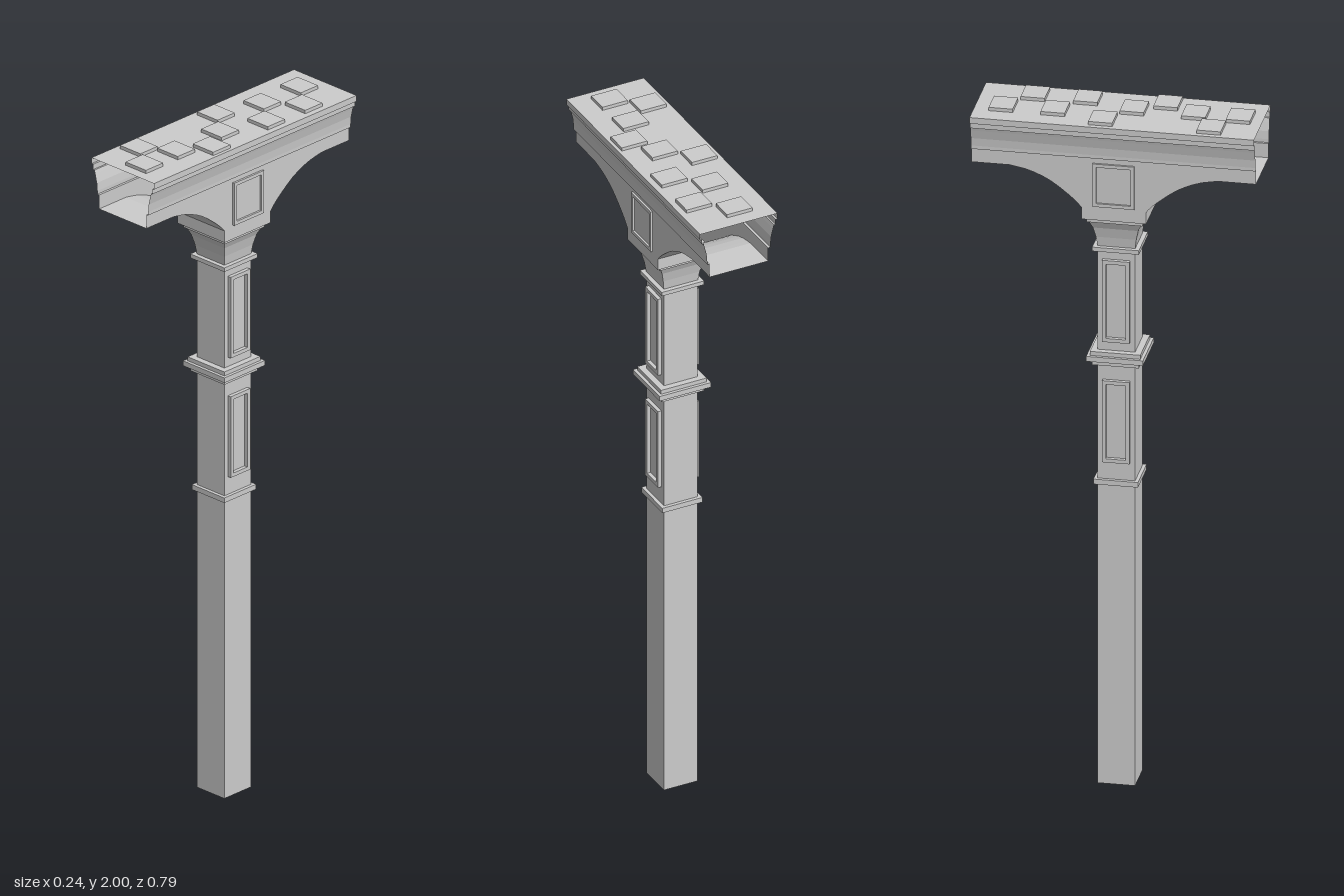
import * as THREE from 'three';

const material = new THREE.MeshStandardMaterial({ color: 0xcccccc, flatShading: true, side: THREE.DoubleSide });
const HALF_LENGTH = 0.395;
const WALL_X = 0.09;

function add(parent, name, geometry) {
  const mesh = new THREE.Mesh(geometry, material);
  mesh.name = name;
  parent.add(mesh);
  return mesh;
}

// Square-plan moulding: profile of [half width, y], turned with four sides
function squareTurned(profile) {
  const pts = profile.map(([w, y]) => new THREE.Vector2(w * Math.SQRT2, y));
  return new THREE.LatheGeometry(pts, 4).rotateY(Math.PI / 4);
}

// Sheet joining two matching rows of points
function sheet(rowA, rowB) {
  const pos = [], index = [];
  rowA.forEach((a, i) => {
    pos.push(...a, ...rowB[i]);
    if (i) {
      const k = 2 * i;
      index.push(k - 2, k - 1, k, k, k - 1, k + 1);
    }
  });
  const g = new THREE.BufferGeometry();
  g.setAttribute('position', new THREE.Float32BufferAttribute(pos, 3));
  g.setIndex(index);
  g.computeVertexNormals();
  return g;
}

// Raised rectangular border on a side face
function frame(halfW, halfH, border, depth) {
  const rect = (T, w, h) => {
    const p = new T();
    p.moveTo(-w, -h).lineTo(w, -h).lineTo(w, h).lineTo(-w, h).closePath();
    return p;
  };
  const shape = rect(THREE.Shape, halfW, halfH);
  shape.holes.push(rect(THREE.Path, halfW - border, halfH - border));
  return new THREE.ExtrudeGeometry(shape, { depth, bevelEnabled: false });
}

export function createModel() {
  const model = new THREE.Group();
  model.name = 'bracketedPillar';

  // Hollow square post
  add(model, 'post', squareTurned([[0.052, 0], [0.052, 1.61]]));

  // Collars around the post
  add(model, 'lowerCollar', squareTurned([[0.052, 0.897], [0.062, 0.897], [0.062, 0.912], [0.052, 0.912]]));
  add(model, 'middleCollar', squareTurned([
    [0.052, 1.255], [0.065, 1.255], [0.065, 1.27], [0.079, 1.27],
    [0.079, 1.285], [0.07, 1.285], [0.07, 1.297], [0.052, 1.297]]));
  add(model, 'upperCollar', squareTurned([[0.052, 1.595], [0.065, 1.595], [0.065, 1.607], [0.052, 1.607]]));

  // Flared capital
  add(model, 'capital', squareTurned([
    [0.052, 1.605], [0.056, 1.635], [0.063, 1.665], [0.073, 1.687], [0.078, 1.687],
    [0.078, 1.7], [0.09, 1.7], [0.09, 1.74]]));

  // Arched soffit under the beam, running front to back
  const curve = new THREE.SplineCurve([
    [0.29, 1.845], [0.235, 1.834], [0.18, 1.81], [0.135, 1.778], [0.105, 1.752], [0.09, 1.735],
  ].map(p => new THREE.Vector2(...p))).getPoints(12).map(p => [p.x, p.y]);
  const arch = [[HALF_LENGTH, 1.845], ...curve];
  for (const s of [1, -1]) {
    add(model, s > 0 ? 'frontSoffit' : 'backSoffit', sheet(
      arch.map(([z, y]) => [-s * WALL_X, y, s * z]),
      arch.map(([z, y]) => [s * WALL_X, y, s * z])));
  }

  // Spandrel outline, shared by both sides
  const outline = new THREE.Shape([
    ...arch, ...arch.map(([z, y]) => [-z, y]).reverse(),
    [-HALF_LENGTH, 1.887], [HALF_LENGTH, 1.887],
  ].map(p => new THREE.Vector2(...p)));

  // Stepped cornice profile: [x, y]
  const cornice = [
    [0.09, 1.887], [0.097, 1.887], [0.097, 1.897], [0.099, 1.92], [0.105, 1.945], [0.108, 1.956],
    [0.113, 1.956], [0.113, 1.972], [0.119, 1.972], [0.119, 1.99]];

  // Side walls, cornices and panel frames, mirrored left and right
  for (const s of [1, -1]) {
    const side = new THREE.Group();
    side.name = s > 0 ? 'leftSide' : 'rightSide';
    model.add(side);
    const turn = s * Math.PI / 2;
    add(side, 'spandrel', new THREE.ShapeGeometry(outline).rotateY(turn).translate(s * WALL_X, 0, 0));
    add(side, 'cornice', sheet(
      cornice.map(([x, y]) => [s * x, y, s * HALF_LENGTH]),
      cornice.map(([x, y]) => [s * x, y, -s * HALF_LENGTH])));
    for (const [name, y] of [['upperPanelFrame', 1.447], ['lowerPanelFrame', 1.087]]) {
      add(side, name, frame(0.038, 0.122, 0.011, 0.011).rotateY(turn).translate(s * 0.052, y, 0));
    }
    add(side, 'spandrelFrame', frame(0.058, 0.064, 0.01, 0.006).rotateY(turn).translate(s * WALL_X, 1.806, 0));
  }

  // Flat top
  add(model, 'top', new THREE.PlaneGeometry(0.238, 2 * HALF_LENGTH).rotateX(-Math.PI / 2).translate(0, 1.99, 0));

  // Scattered raised tiles: [x, z]
  const tiles = [
    [-0.025, -0.319], [0.062, -0.247], [-0.025, -0.175], [0.062, -0.101], [-0.065, -0.035],
    [0.02, 0.036], [0.07, 0.12], [0.02, 0.207], [-0.065, 0.266], [0.02, 0.331]];
  for (const [x, z] of tiles) {
    add(model, 'tile', new THREE.BoxGeometry(0.078, 0.01, 0.067)).position.set(x, 1.995, z);
  }
  return model;
}
